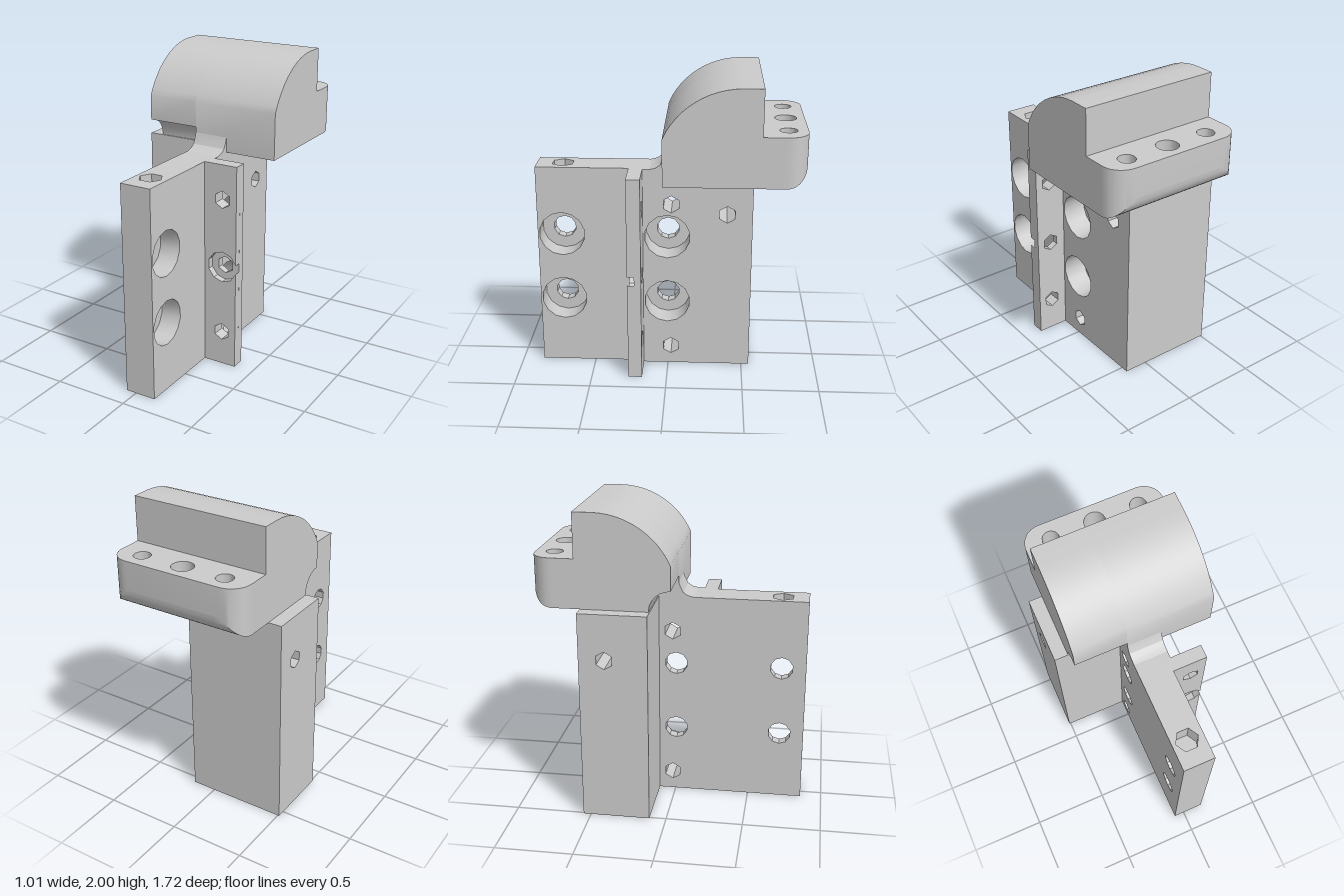
import * as THREE from 'three';
import { toCreasedNormals } from 'three/addons/utils/BufferGeometryUtils.js';

const grey = new THREE.MeshStandardMaterial({ color: 0xcccccc, side: THREE.DoubleSide });

// Regular polygon or arc points around a centre
function arc(cx, cy, r, from, to, n) {
  return Array.from({ length: n + 1 }, (_, i) => {
    const a = from + ((to - from) * i) / n;
    return [cx + r * Math.cos(a), cy + r * Math.sin(a)];
  });
}
const hole = (cx, cy, r, n = 6, start = Math.PI / 2) => arc(cx, cy, r, start, start + 2 * Math.PI, n).slice(0, n);
const vectors = (pts) => pts.map(([x, y]) => new THREE.Vector2(x, y));

function extrude(outline, holes, depth) {
  const shape = new THREE.Shape(vectors(outline));
  for (const h of holes) shape.holes.push(new THREE.Path(vectors(h)));
  return new THREE.ExtrudeGeometry(shape, { depth, bevelEnabled: false });
}
function mesh(name, geometry) {
  const m = new THREE.Mesh(toCreasedNormals(geometry, 0.5), grey);
  m.name = name;
  return m;
}
// Outline in (-z, y), extruded along x
const alongX = (name, outline, holes, x0, x1) =>
  mesh(name, extrude(outline, holes, x1 - x0).rotateY(Math.PI / 2).translate(x0, 0, 0));
// Outline in (x, -z), extruded along y
const alongY = (name, outline, holes, y0, y1) =>
  mesh(name, extrude(outline, holes, y1 - y0).rotateX(-Math.PI / 2).translate(0, y0, 0));
// Outline in (x, y), extruded along z
const alongZ = (name, outline, holes, z0, z1) =>
  mesh(name, extrude(outline, holes, z1 - z0).translate(0, 0, z0));
const rect = (a, b, c, d) => [[a, b], [c, b], [c, d], [a, d]];

// Rear shelf with rounded corners, a rounded lower edge and three vertical holes
function shelfGeometry() {
  const back = -0.86, front = -0.58, top = 1.71, bottom = 1.39, r = 0.13;
  const bores = [[-0.25, 0.055], [0.045, 0.07], [0.34, 0.055]], boreZ = -0.74;
  const round = (z) => r - Math.sqrt(Math.max(0, r * r - Math.max(0, back + r - z) ** 2));
  const edges = (z) => {
    const xs = [-0.42 + round(z)];
    for (const [x, br] of bores) {
      const h = Math.sqrt(Math.max(0, br * br - (z - boreZ) ** 2));
      xs.push(x - h, x + h);
    }
    return [...xs, 0.505 - round(z)];
  };
  const zs = [back, -0.857, -0.85, -0.838, -0.825, -0.81, front];
  for (const a of [0, 0.35, 0.7, 1.05, 1.57]) {
    for (const br of [0.055, 0.07]) zs.push(boreZ - br * Math.cos(a), boreZ + br * Math.cos(a));
  }
  zs.sort((a, b) => a - b);
  const pos = [];
  const quad = (a, b, c, d) => pos.push(...a, ...b, ...c, ...a, ...c, ...d);
  for (let i = 0; i + 1 < zs.length; i++) {
    const [z0, z1] = [zs[i], zs[i + 1]];
    if (z1 - z0 < 1e-5) continue;
    const [e0, e1] = [edges(z0), edges(z1)];
    const [y0, y1] = [bottom + round(z0), bottom + round(z1)];
    for (let k = 0; k < e0.length; k += 2) {
      const [a0, b0, a1, b1] = [e0[k], e0[k + 1], e1[k], e1[k + 1]];
      quad([a0, top, z0], [a1, top, z1], [b1, top, z1], [b0, top, z0]);
      quad([a0, y0, z0], [b0, y0, z0], [b1, y1, z1], [a1, y1, z1]);
      quad([a0, y0, z0], [a1, y1, z1], [a1, top, z1], [a0, top, z0]);
      quad([b0, y0, z0], [b0, top, z0], [b1, top, z1], [b1, y1, z1]);
    }
  }
  const e = edges(back), yb = bottom + r;
  quad([e[0], yb, back], [e[0], top, back], [e[7], top, back], [e[7], yb, back]);
  const g = new THREE.BufferGeometry();
  g.setAttribute('position', new THREE.Float32BufferAttribute(pos, 3));
  g.computeVertexNormals();
  return g;
}

export function createModel() {
  const model = new THREE.Group();
  const low = 0.06, high = 1.23, height = 1.39, left = -0.07, floor = 0.0;

  // Plan of upright plate and rear block, capped top and bottom with blind holes
  const plan = [[left, -0.86], [0.14, -0.86], [0.14, -0.21], [0.16, -0.21], [0.16, 0.55],
    [-0.51, 0.55], [-0.51, 0.11], [left, 0.11]];
  model.add(alongY('uprightBase', plan, [hole(-0.04, 0.27, 0.075, 6, 0)], 0, low));
  model.add(alongY('uprightTop', plan, [hole(0.03, -0.69, 0.075, 6, 0)], high, height));

  // Upright plate with counterbored bolt holes
  const bolts = (z, r, n) => [0.465, 0.93].map((y) => hole(-z, y, r, n));
  const pins = [hole(0.02, 0.13, 0.058), hole(0.02, 1.155, 0.058)];
  const cross = hole(0.385, 1.09, 0.058);
  const frontPlate = rect(-0.86, low, -0.21, high);
  const rearPlate = rect(-0.21, low, 0.55, high);
  const step = floor;
  model.add(alongX('frontPlateInner', frontPlate, bolts(0.7, 0.075, 10), left, step));
  model.add(alongX('frontPlateOuter', frontPlate, bolts(0.7, 0.15, 14), step, 0.14));
  model.add(alongX('rearPlateInner', rearPlate, [...bolts(0.005, 0.075, 10), ...pins, cross], left, step));
  model.add(alongX('rearPlateOuter', rearPlate, [...bolts(0.005, 0.15, 14), ...pins, cross], step, 0.16));

  // Rear block
  model.add(alongX('rearBlock', rect(0.11, low, 0.55, high), [cross], -0.51, left));

  // Side flange, its middle hole counterbored through the outer edge
  const fx = 0.27, ends = [hole(fx, 0.235, 0.058), hole(fx, 1.16, 0.058)];
  model.add(alongZ('flangeBack', rect(0.14, 0, 0.37, height), [...ends, hole(fx, 0.7, 0.058)], 0.165, 0.21));
  const notch = arc(fx, 0.7, 0.104, -0.29, 0.29 - 2 * Math.PI, 9);
  model.add(alongZ('flangeFront', [[0.14, 0], [0.37, 0], ...notch, [0.37, height], [0.14, height]], ends, 0.21, 0.255));

  // Domed head; its right part is hollowed along the lower front edge
  const dome = [...arc(0.46, 1.473, 0.527, Math.PI - 0.424, Math.PI / 2, 12), [0.58, 2], [0.58, height]];
  model.add(alongX('headLeft', [[-0.02, height], ...dome], [], left, 0.505));
  const cove = arc(-0.02, height, 0.137, 0, Math.PI / 2, 6);
  model.add(alongX('headRight', [...cove, ...dome], [], -0.42, left));
  model.add(mesh('headShelf', shelfGeometry()));

  // Fillet joining plate and head
  const fillet = [[-0.12, height], [-0.08, 1.4], [-0.05, 1.42], [-0.03, 1.46], [-0.02, 1.49], [0, 1.49], [0, height]];
  model.add(alongX('neckFillet', fillet, [], left, 0.16));
  return model;
}
